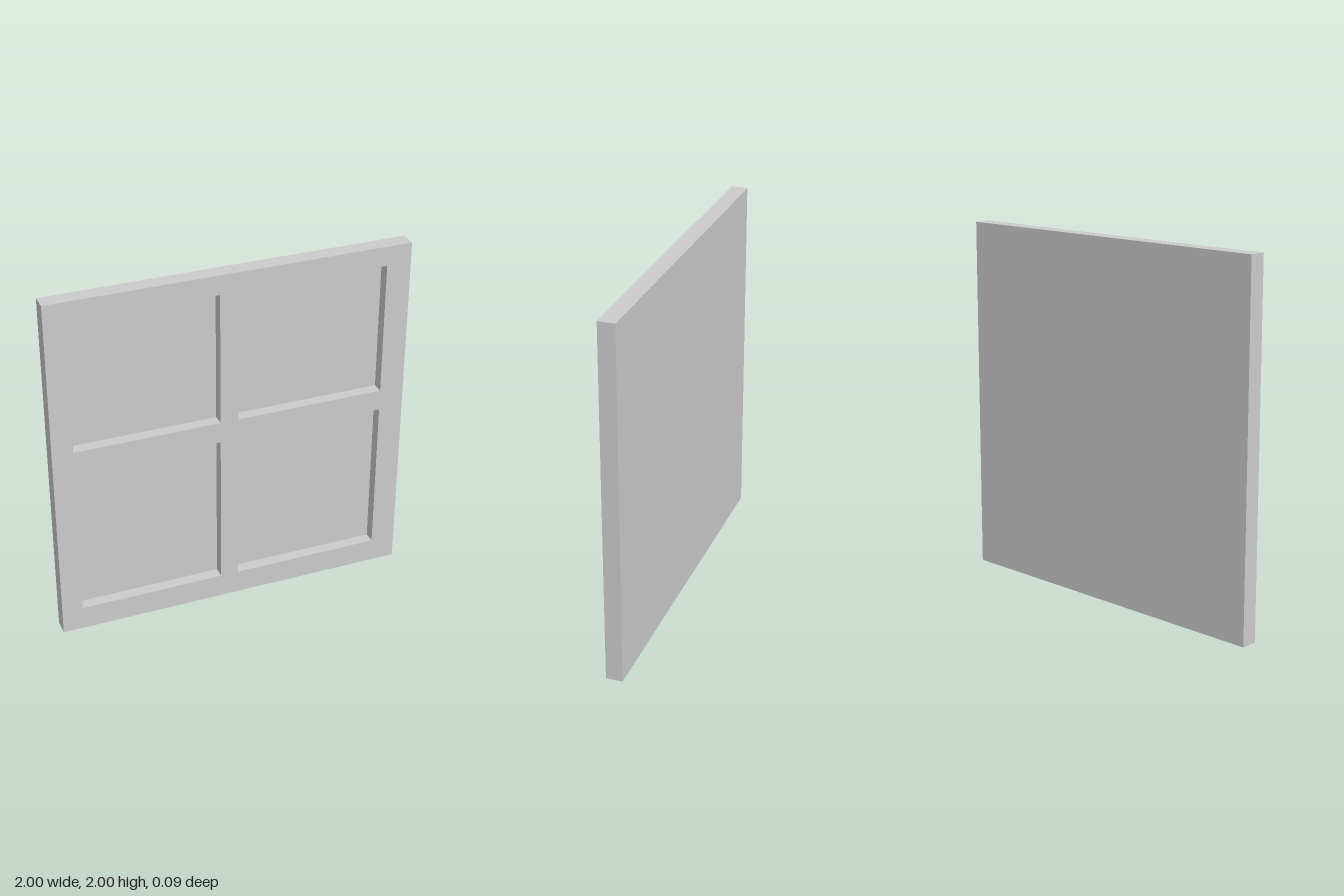
import * as THREE from 'three';

const SIZE = 2, DEPTH = 0.092, RECESS = 0.065;
const COLUMNS = [[-0.885, -0.074], [0.028, 0.862]];
const ROWS = [[0.135, 1.017], [1.137, 1.89]];

// Traces a rectangle on a shape or path
function rectangle(path, x0, y0, x1, y1) {
  path.moveTo(x0, y0);
  path.lineTo(x1, y0);
  path.lineTo(x1, y1);
  path.lineTo(x0, y1);
  path.closePath();
  return path;
}

export function createModel() {
  const group = new THREE.Group();
  group.name = 'windowPanel';
  const material = new THREE.MeshStandardMaterial({ color: 0xcccccc });
  const plateDepth = DEPTH - RECESS;

  // Solid back plate, whose front forms the four recessed panes
  const plate = new THREE.Mesh(new THREE.BoxGeometry(SIZE, SIZE, plateDepth), material);
  plate.name = 'backPlate';
  plate.position.set(0, SIZE / 2, -DEPTH / 2 + plateDepth / 2);
  group.add(plate);

  // Raised frame with crossbars, cut by four openings
  const shape = rectangle(new THREE.Shape(), -SIZE / 2, 0, SIZE / 2, SIZE);
  for (const [x0, x1] of COLUMNS) {
    for (const [y0, y1] of ROWS) {
      shape.holes.push(rectangle(new THREE.Path(), x0, y0, x1, y1));
    }
  }
  const frame = new THREE.Mesh(
    new THREE.ExtrudeGeometry(shape, { depth: RECESS, bevelEnabled: false }), material);
  frame.name = 'frame';
  frame.position.z = DEPTH / 2 - RECESS;
  group.add(frame);

  return group;
}
